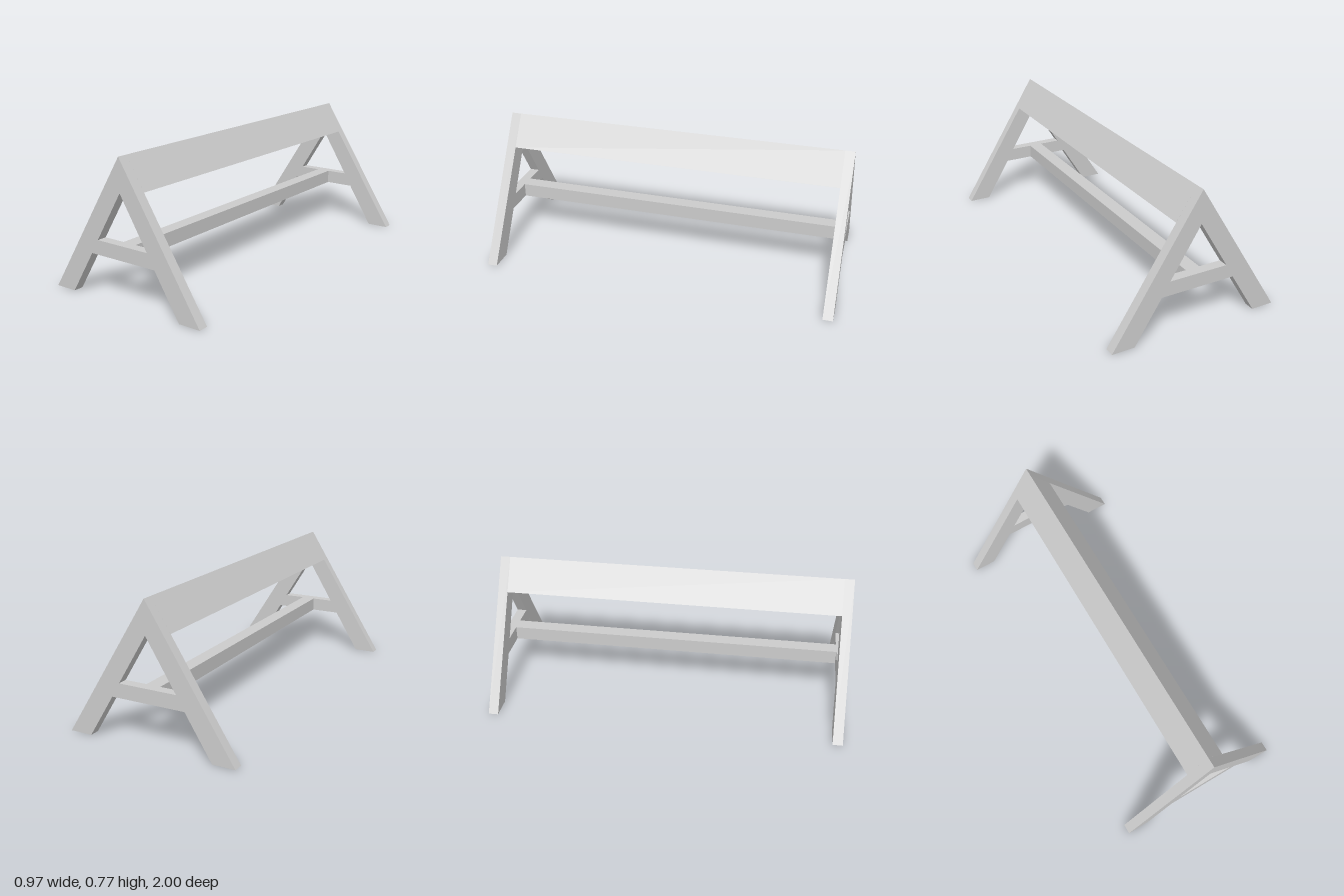
import * as THREE from 'three';

const LENGTH = 2, FRAME = 0.055;

// Closed shape from [x, y] points
const outline = (points, Type = THREE.Shape) => new Type(points.map(([x, y]) => new THREE.Vector2(x, y)));

// Extrude a profile along z, centred on z
function prism(name, shape, depth, z, material) {
  const geometry = new THREE.ExtrudeGeometry(shape, { depth, bevelEnabled: false });
  geometry.translate(0, 0, z - depth / 2);
  const mesh = new THREE.Mesh(geometry, material);
  mesh.name = name;
  return mesh;
}

export function createModel() {
  const model = new THREE.Group();
  model.name = 'trestle';
  const material = new THREE.MeshStandardMaterial({ color: 0xcccccc, flatShading: true });

  // A-shaped end frames: two splayed legs joined by a crossbar
  const frame = outline([
    [-0.483, 0], [-0.357, 0], [-0.21, 0.238], [0.21, 0.238],
    [0.357, 0], [0.483, 0], [0, 0.766],
  ]);
  frame.holes.push(outline([[-0.165, 0.316], [0, 0.585], [0.165, 0.316]], THREE.Path));
  for (const side of [1, -1]) {
    const name = side > 0 ? 'frontFrame' : 'backFrame';
    model.add(prism(name, frame, FRAME, side * (LENGTH - FRAME) / 2, material));
  }

  const span = LENGTH - 2 * FRAME;

  // Solid ridge with a slightly pointed underside
  const ridge = outline([[0, 0.585], [0.109, 0.594], [0, 0.766], [-0.109, 0.594]]);
  model.add(prism('ridgeBeam', ridge, span, 0, material));

  // Stretcher between the crossbars
  const stretcher = outline([[-0.04, 0.238], [0.04, 0.238], [0.04, 0.316], [-0.04, 0.316]]);
  model.add(prism('stretcher', stretcher, span, 0, material));

  return model;
}
